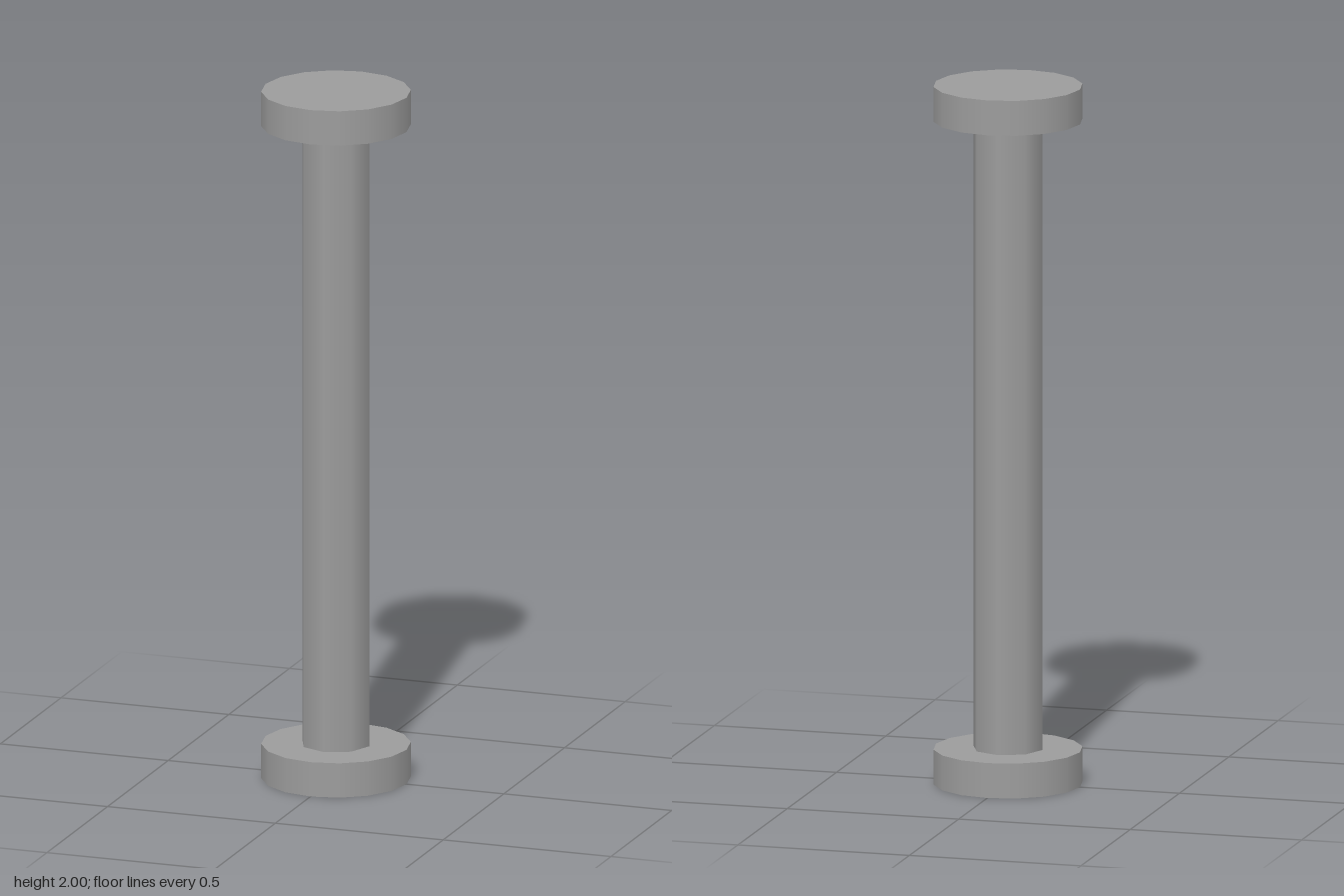
import * as THREE from 'three';

export function createModel() {
  const model = new THREE.Group();
  model.name = 'column';
  const material = new THREE.MeshStandardMaterial({ color: 0x9b9b9b });

  // Upright cylinder standing on the given height
  const addCylinder = (name, radius, height, bottom, sides, open = false) => {
    const geometry = new THREE.CylinderGeometry(radius, radius, height, sides, 1, open);
    const mesh = new THREE.Mesh(geometry, material);
    mesh.name = name;
    mesh.position.y = bottom + height / 2;
    model.add(mesh);
  };

  // Two end discs joined by a slender shaft
  addCylinder('baseDisc', 0.21, 0.1, 0, 16);
  addCylinder('shaft', 0.1, 1.8, 0.1, 8, true);
  addCylinder('topDisc', 0.21, 0.1, 1.9, 16);

  return model;
}
